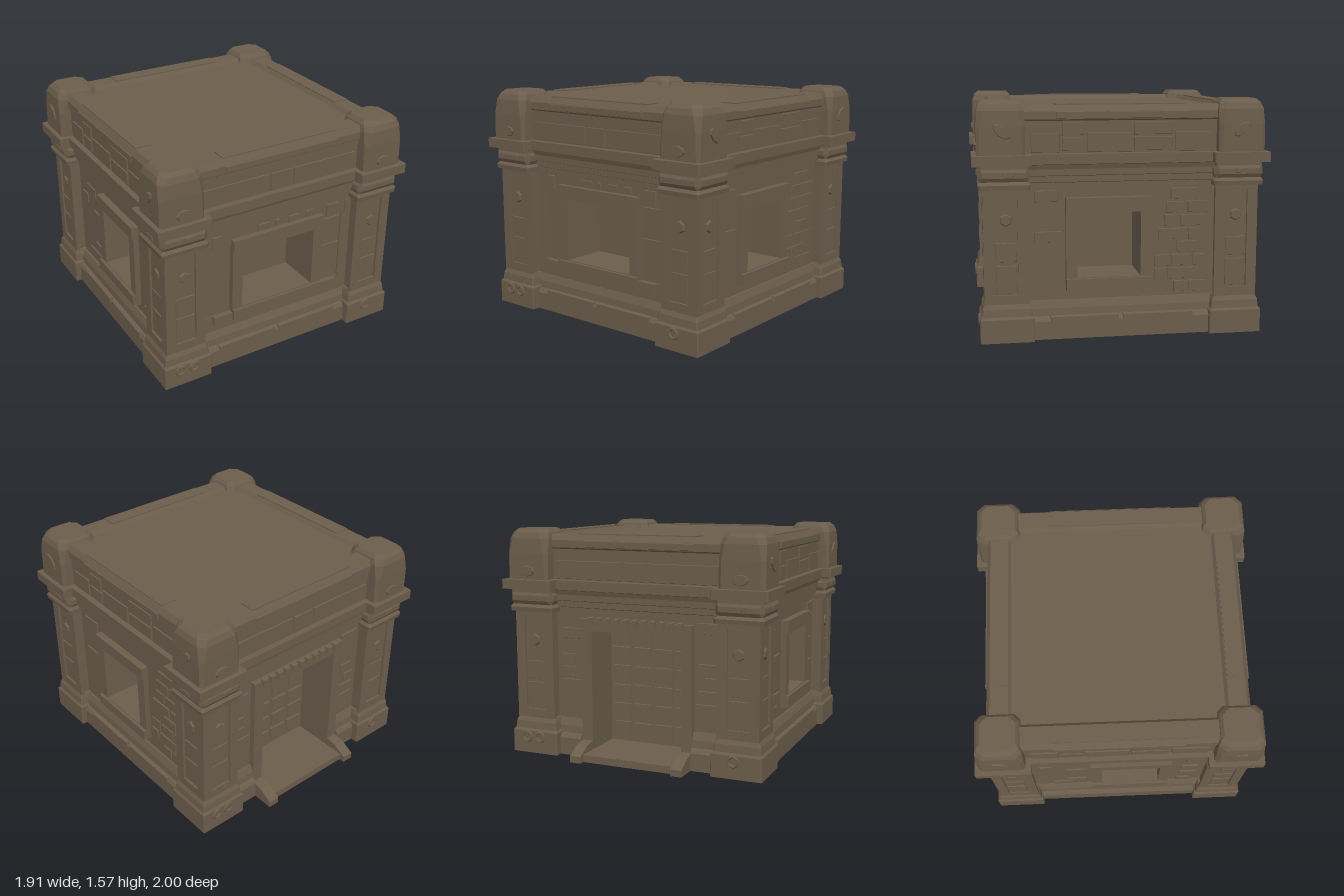
import * as THREE from 'three';

const stone = new THREE.MeshStandardMaterial({ color: 0x6b5d4b, flatShading: true });
stone.name = 'brown stone';

function add(parent, name, geometry) {
  const mesh = new THREE.Mesh(geometry, stone);
  mesh.name = name;
  parent.add(mesh);
  return mesh;
}

// Box given by its limits
function block(parent, name, x0, x1, y0, y1, z0, z1) {
  const g = new THREE.BoxGeometry(x1 - x0, y1 - y0, z1 - z0);
  g.translate((x0 + x1) / 2, (y0 + y1) / 2, (z0 + z1) / 2);
  return add(parent, name, g);
}

const rectPoints = (x0, x1, y0, y1) =>
  [[x0, y0], [x1, y0], [x1, y1], [x0, y1]].map(p => new THREE.Vector2(...p));

// Upright plate [x0, x1, y0, y1] with a rectangular hole, facing +z
function plate(parent, name, outer, hole, z0, z1) {
  const s = new THREE.Shape(rectPoints(...outer));
  s.holes.push(new THREE.Path(rectPoints(...hole)));
  const g = new THREE.ExtrudeGeometry(s, { depth: z1 - z0, bevelEnabled: false });
  g.translate(0, 0, z0);
  return add(parent, name, g);
}

// Moulding: profile of [outward, height] run along x
function moulding(parent, name, profile, x0, x1) {
  const s = new THREE.Shape(profile.map(p => new THREE.Vector2(...p)));
  const g = new THREE.ExtrudeGeometry(s, { depth: x1 - x0, bevelEnabled: false });
  g.rotateY(-Math.PI / 2);
  g.translate(x1, 0, 0);
  return add(parent, name, g);
}

// Raised tile with sloping edges, centred on x, y at depth z
function tile(parent, name, x, y, w, h, z, d = 0.012) {
  const g = new THREE.BoxGeometry(w, h, d * 2);
  const p = g.attributes.position;
  for (let i = 0; i < p.count; i++) {
    if (p.getZ(i) > 0) {
      p.setX(i, p.getX(i) - Math.sign(p.getX(i)) * 0.005);
      p.setY(i, p.getY(i) - Math.sign(p.getY(i)) * 0.005);
    }
  }
  g.translate(x, y, z);
  return add(parent, name, g);
}

// Stack of chamfered rectangles; rings are [x0, x1, z0, z1, y, chamfer]
function loft(rings) {
  const pos = [], index = [], n = 8;
  for (const [x0, x1, z0, z1, y, c] of rings) {
    for (const [x, z] of [[x0 + c, z0], [x0, z0 + c], [x0, z1 - c], [x0 + c, z1],
      [x1 - c, z1], [x1, z1 - c], [x1, z0 + c], [x1 - c, z0]]) pos.push(x, y, z);
  }
  for (let r = 0; r < rings.length - 1; r++) {
    for (let i = 0; i < n; i++) {
      const a = r * n + i, b = r * n + (i + 1) % n;
      index.push(a, b, b + n, a, b + n, a + n);
    }
  }
  const t = (rings.length - 1) * n;
  for (let i = 1; i < n - 1; i++) index.push(0, i + 1, i, t, t + i, t + i + 1);
  const g = new THREE.BufferGeometry();
  g.setAttribute('position', new THREE.Float32BufferAttribute(pos, 3));
  g.setIndex(index);
  g.computeVertexNormals();
  return g;
}

// Corner pillar: [inner, outer, height, chamfer]
const pillarRings = [
  [0.57, 0.92, 0, 0.006], [0.57, 0.92, 0.155, 0.006], [0.582, 0.908, 0.17, 0.008], [0.588, 0.903, 0.22, 0.008],
  [0.6, 0.887, 0.255, 0.006], [0.615, 0.874, 0.256, 0.004], [0.615, 0.874, 0.995, 0.004],
  [0.588, 0.915, 1.0, 0.012], [0.585, 0.92, 1.03, 0.012], [0.6, 0.905, 1.05, 0.012], [0.588, 0.92, 1.075, 0.03],
  [0.588, 0.92, 1.11, 0.03], [0.6, 0.91, 1.13, 0.01], [0.6, 0.91, 1.15, 0.01],
  [0.58, 0.955, 1.155, 0.006], [0.58, 0.955, 1.22, 0.006], [0.615, 0.925, 1.222, 0.02],
  [0.615, 0.925, 1.4, 0.025], [0.618, 0.92, 1.5, 0.04], [0.63, 0.905, 1.54, 0.045], [0.65, 0.88, 1.565, 0.045]];

function pillar(parent, sx, sz) {
  const range = (s, a, b) => s > 0 ? [a, b] : [-b, -a];
  add(parent, 'cornerPillar', loft(pillarRings.map(([a, b, y, c]) =>
    [...range(sx, a, b), ...range(sz, a + 0.015, b + 0.015), y, c])));
}

// Carving on the pillar faces of one side; s picks the pillar, o the extra outward offset
function pillarFace(side, s, o, shift, ornate) {
  const g = new THREE.Group();
  g.name = 'pillarCarving';
  g.position.set(s * (0.745 + shift), 0, o);
  side.add(g);
  plate(g, 'shaftFrame', [-0.145, 0.145, 0.25, 1.0], [-0.075, 0.075, 0.31, 0.97], 0.865, 0.89);
  tile(g, 'lowerShaftTile', 0, 0.41, 0.14, 0.19, 0.874, 0.007);
  tile(g, 'middleShaftTile', 0, 0.59, 0.14, 0.13, 0.874, 0.007);
  const knob = add(g, 'shaftKnob', new THREE.CylinderGeometry(0.034, 0.045, 0.018, 6));
  knob.rotation.x = Math.PI / 2;
  knob.position.set(0, 0.8, 0.878);
  tile(g, 'capitalPlaque', 0.02, 1.1, 0.08, 0.035, 0.918, 0.009);
  const plaque = add(g, 'upperPlaque', new THREE.CylinderGeometry(0.05, 0.062, 0.02, 8));
  plaque.rotation.x = Math.PI / 2;
  plaque.scale.set(1, 1, 0.66);
  plaque.position.set(0.02 * s, 1.28, 0.925);
  if (!ornate) { // broken stone shapes on the flanks
    plaque.rotation.set(Math.PI / 2, s * 0.7, 0);
    plaque.scale.set(1.2, 1, 0.6);
    plaque.position.y = 1.37;
  } else {
    for (const x of s < 0 ? [-0.06, 0.04] : [-0.02]) {
      const boss = add(g, 'baseRing', new THREE.TorusGeometry(0.032, 0.01, 6, 12));
      boss.position.set(x, 0.115, 0.92);
    }
  }
}

const plinth = [[0.5, 0], [0.88, 0], [0.88, 0.12], [0.865, 0.145], [0.85, 0.15], [0.845, 0.2], [0.825, 0.25], [0.5, 0.25]];
const entablature = [[0.5, 1], [0.825, 1], [0.825, 1.03], [0.84, 1.035], [0.84, 1.075], [0.855, 1.08], [0.855, 1.12],
  [0.865, 1.15], [0.885, 1.155], [0.885, 1.22], [0.845, 1.222], [0.845, 1.43], [0.86, 1.44], [0.86, 1.49],
  [0.835, 1.53], [0.715, 1.53], [0.69, 1.5], [0.5, 1.5]];

function seeded(seed) {
  return () => (seed = (seed * 16807) % 2147483647) / 2147483647;
}

// Rough stones on the wall, kept clear of the opening
function wallStones(side, rand, [a, b, c, d], chance) {
  for (let y = 0.27; y < 0.95; y += 0.09) {
    for (let x = -0.58; x < 0.5;) {
      const w = 0.08 + rand() * 0.15, h = 0.08, end = Math.min(x + w, 0.59);
      const clear = end < a || x > b || y + h < c || y > d;
      if (rand() < chance && clear) tile(side, 'wallStone', (x + end) / 2, y + h / 2, end - x - 0.012, h, 0.81, 0.006 + rand() * 0.007);
      x = end;
    }
  }
}

function windowTrim(side, cx, hw, frame) {
  const o = [cx - hw - frame, cx + hw + frame, 0.31, 0.93];
  plate(side, 'windowFrame', o, [cx - hw, cx + hw, 0.4, 0.83], 0.8, 0.85);
  block(side, 'windowLintel', o[0], o[1], 0.845, 0.93, 0.8, 0.862);
  block(side, 'windowSill', o[0], o[1], 0.32, 0.395, 0.8, 0.872);
}

function createSide(parent, name, angle, kind, cx) {
  const side = new THREE.Group();
  side.name = name;
  side.rotation.y = angle;
  parent.add(side);
  const flank = kind === 'flank', door = kind === 'door';
  const hw = flank ? 0.21 : door ? 0.33 : 0.285;
  const hole = door ? [-hw, hw, 0.02, 0.88] : [cx - hw, cx + hw, 0.4, 0.83];
  plate(side, 'wall', [-0.64, 0.64, 0, 1.02], hole, 0.53, 0.81);
  moulding(side, 'entablature', entablature, -0.66, 0.66);
  for (const s of [-1, 1]) pillarFace(side, s, flank ? 0 : 0.015, flank ? 0.015 : 0, !flank);

  if (door) {
    moulding(side, 'plinth', plinth, -0.62, -0.41);
    moulding(side, 'plinth', plinth, 0.41, 0.62);
    plate(side, 'doorFrame', [-0.41, 0.41, 0.0, 0.96], [-hw, hw, 0.02, 0.88], 0.8, 0.85);
    for (let i = 0; i < 11; i++) tile(side, 'dentil', -0.33 + i * 0.066, 0.95, 0.042, 0.055, 0.855, 0.016);
    block(side, 'doorSlab', -hw, hw, 0.02, 0.9, 0.5, 0.56);
    const rand = seeded(11);
    for (let r = 0; r < 6; r++) for (let c = 0; c < 4; c++) {
      tile(side, 'doorTile', -0.24 + c * 0.16, 0.14 + r * 0.135, 0.13 + rand() * 0.015, 0.105 + rand() * 0.015, 0.56, 0.014);
    }
    // Front step with sloping cheeks
    block(side, 'doorStep', -0.34, 0.34, 0, 0.05, 0.55, 0.99);
    for (const x of [-0.41, 0.33]) {
      moulding(side, 'stepCheek', [[0.8, 0], [1.03, 0], [1.03, 0.045], [0.93, 0.1], [0.8, 0.12]], x, x + 0.08);
    }
    wallStones(side, rand, [-0.41, 0.41, 0, 1], 0.7);
  } else {
    moulding(side, 'plinth', plinth, -0.62, 0.62);
    windowTrim(side, cx, hw, 0.075);
    for (const [x, w] of [[-0.25, 0.46], [0.24, 0.48]]) tile(side, 'plinthSlab', x, 0.13, w, 0.05, 0.87, 0.014);
  }
  if (kind === 'window') {
    // Stepped surround and the stones under the entablature
    plate(side, 'wallSurround', [-0.62, 0.62, 0.25, 1.0], [-0.545, 0.535, 0.37, 0.88], 0.8, 0.822);
    for (const s of [-1, 1]) block(side, 'sillFoot', s * 0.43 - 0.07, s * 0.43 + 0.07, 0.315, 0.37, 0.8, 0.85);
    for (const [x, w, h] of [[-0.465, 0.08, 0.1], [-0.11, 0.1, 0.05], [0, 0.04, 0.05], [0.13, 0.09, 0.05], [0.26, 0.07, 0.05],
      [0.45, 0.1, 0.1], [0.57, 0.03, 0.1]]) tile(side, 'friezeStone', x, 0.985 - h / 2, w, h, 0.822, 0.01);
    tile(side, 'sideStone', 0.45, 0.77, 0.17, 0.2, 0.81, 0.008);
    tile(side, 'sideStone', 0.45, 0.52, 0.17, 0.28, 0.81, 0.008);
  }
  if (flank) wallStones(side, seeded(cx > 0 ? 29 : 5), [cx - 0.29, cx + 0.29, 0.31, 0.93], 0.55);

  // Parapet stones and coping
  const joints = flank ? [-0.6, -0.4, -0.24, 0.07, 0.34, 0.6] : [-0.6, -0.09, 0.09, 0.6];
  for (let i = 0; i < joints.length - 1; i++) {
    const w = joints[i + 1] - joints[i], x = joints[i] + w / 2;
    if (flank && i % 2) for (const y of [1.28, 1.38]) tile(side, 'parapetStone', x, y, w - 0.012, 0.09, 0.845, 0.009);
    else tile(side, 'parapetStone', x, 1.29, w - 0.012, 0.13, 0.845, 0.009);
  }
  tile(side, 'copingStone', 0, 1.466, 0.86, 0.05, 0.86, 0.008);
  block(side, 'copingCap', -0.43, 0.43, 1.5, 1.537, 0.72, 0.832);
}

export function createModel() {
  const model = new THREE.Group();
  model.name = 'stoneBuilding';
  const body = new THREE.Group();
  body.name = 'body';
  body.position.z = 0.03;
  model.add(body);

  // Solid core, floor and roof deck
  block(body, 'core', -0.535, 0.535, 0.01, 1.49, -0.535, 0.535);
  block(body, 'floorSlab', -0.85, 0.85, 0, 0.02, -0.85, 0.85);
  block(body, 'roofDeck', -0.72, 0.72, 1.44, 1.505, -0.72, 0.72);

  for (const sx of [-1, 1]) for (const sz of [-1, 1]) pillar(body, sx, sz);

  createSide(body, 'frontSide', 0, 'window', 0);
  createSide(body, 'backSide', Math.PI, 'door', 0);
  createSide(body, 'leftSide', Math.PI / 2, 'flank', -0.085);
  createSide(body, 'rightSide', -Math.PI / 2, 'flank', 0.085);
  return model;
}
